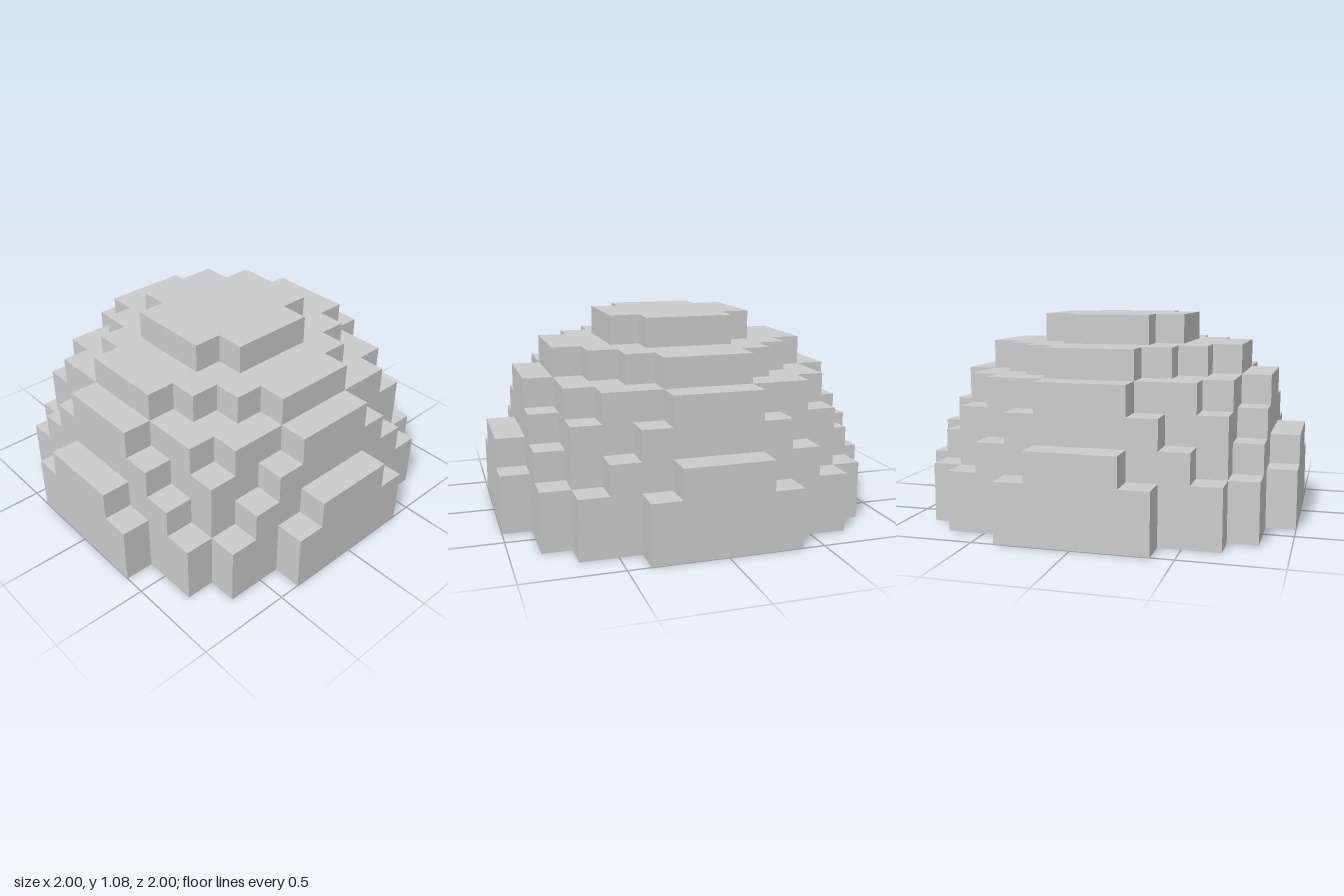
import * as THREE from 'three';
import { mergeGeometries } from 'three/addons/utils/BufferGeometryUtils.js';

const RADIUS = 6.5;        // dome radius in blocks
const N = 6;               // block indices run from -N to N
const SIZE = 1 / RADIUS;   // edge of one block

// A block belongs to the dome when its centre lies in the upper half ball.
const solid = ([x, y, z]) => y >= 0 && x * x + y * y + z * z <= RADIUS * RADIUS;

const axisVector = (axis, sign = 1) => new THREE.Vector3().setComponent(axis, sign);

// One flat strip covering a run of exposed block faces.
function faceStrip(axis, sign, start, length) {
  const u = (axis + 1) % 3, v = (axis + 2) % 3;
  const matrix = new THREE.Matrix4().makeBasis(axisVector(u), axisVector(v, sign), axisVector(axis, sign));
  const centre = new THREE.Vector3(...start);
  centre.setComponent(axis, start[axis] + sign / 2);
  centre.setComponent(u, start[u] + (length - 1) / 2);
  centre.y += 0.5;
  return new THREE.PlaneGeometry(length, 1).applyMatrix4(matrix.setPosition(centre));
}

// All exposed faces looking along one direction, merged into strips.
function sideStrips(axis, sign) {
  const u = (axis + 1) % 3, v = (axis + 2) % 3;
  const strips = [];
  const exposed = (cell) => {
    const next = [...cell];
    next[axis] += sign;
    return solid(cell) && !solid(next);
  };
  for (let layer = -N; layer <= N; layer++) {
    for (let row = -N; row <= N; row++) {
      let start = null, length = 0;
      for (let i = -N; i <= N + 1; i++) {
        const cell = [0, 0, 0];
        cell[axis] = layer;
        cell[v] = row;
        cell[u] = i;
        if (exposed(cell)) {
          if (!start) start = cell;
          length++;
        } else if (start) {
          strips.push(faceStrip(axis, sign, start, length));
          start = null;
          length = 0;
        }
      }
    }
  }
  return strips;
}

export function createModel() {
  const group = new THREE.Group();
  group.name = 'blockDome';

  // Closed shell of the stepped dome
  const strips = [];
  for (const axis of [0, 1, 2]) {
    for (const sign of [1, -1]) strips.push(...sideStrips(axis, sign));
  }
  const geometry = mergeGeometries(strips).scale(SIZE, SIZE, SIZE);
  const material = new THREE.MeshStandardMaterial({ color: 0xcccccc, flatShading: true });
  const dome = new THREE.Mesh(geometry, material);
  dome.name = 'steppedDome';
  group.add(dome);
  return group;
}
